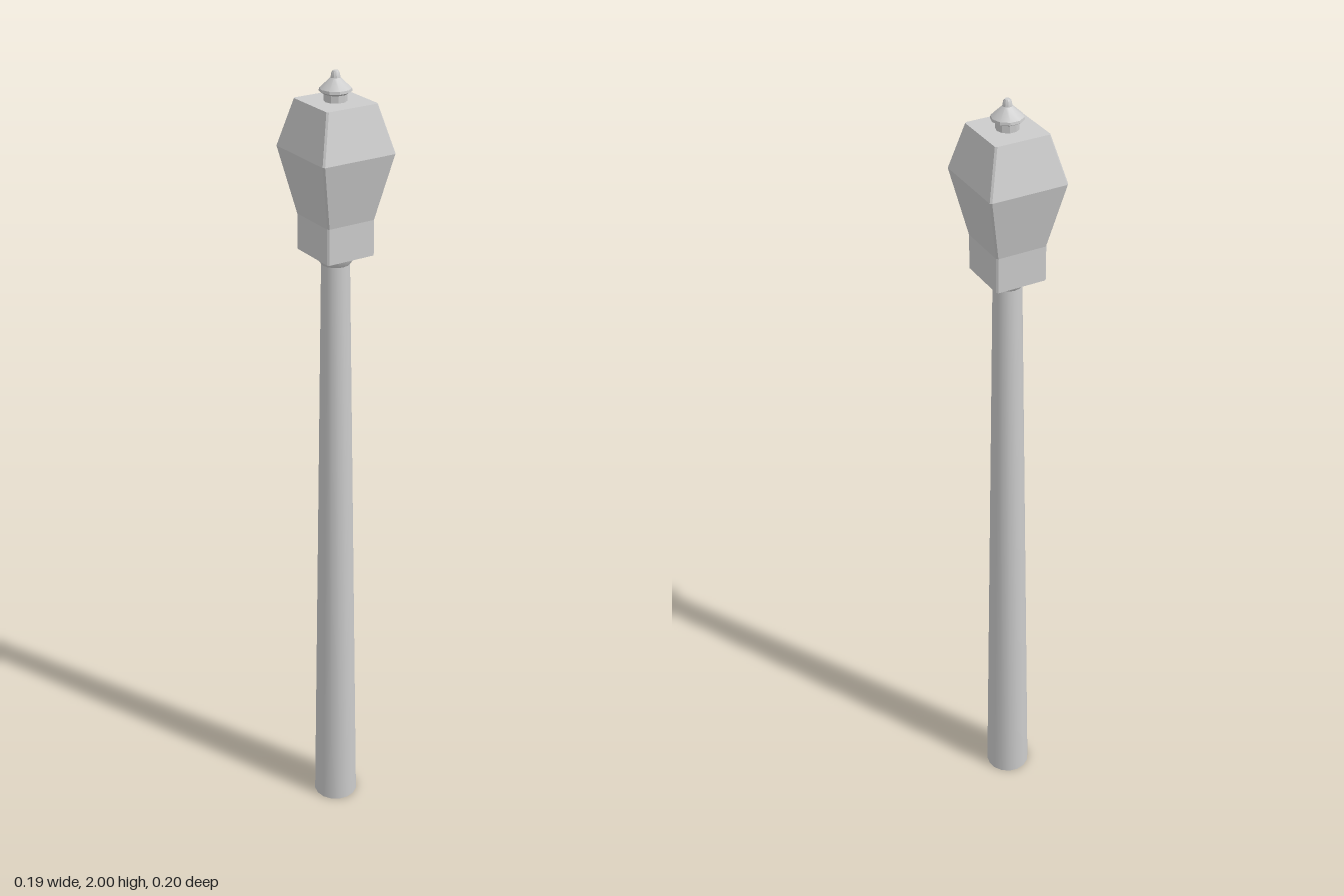
import * as THREE from 'three';
import { toCreasedNormals } from 'three/addons/utils/BufferGeometryUtils.js';

const material = new THREE.MeshStandardMaterial({ color: 0xcccccc });

function addPart(group, name, geometry, crease) {
  const mesh = new THREE.Mesh(toCreasedNormals(geometry, crease), material);
  mesh.name = name;
  group.add(mesh);
}

// Turned solid from [radius, y] pairs, first corner on +x
function turned(profile, sides) {
  const points = profile.map(([r, y]) => new THREE.Vector2(r, y));
  return new THREE.LatheGeometry(points, sides, Math.PI / 2);
}

// Rectangle with cut corners, counter-clockwise seen from above
function cutRectangle(hx, y, hz, c) {
  return [
    [hx, y, hz - c], [hx, y, -hz + c], [hx - c, y, -hz], [-hx + c, y, -hz],
    [-hx, y, -hz + c], [-hx, y, hz - c], [-hx + c, y, hz], [hx - c, y, hz],
  ];
}

// Closed skin over stacked rings
function loft(rings) {
  const n = rings[0].length;
  const last = (rings.length - 1) * n;
  const index = [];
  for (let r = 0; r < rings.length - 1; r++) {
    for (let i = 0; i < n; i++) {
      const a = r * n + i, b = r * n + (i + 1) % n;
      index.push(a, b, b + n, a, b + n, a + n);
    }
  }
  for (let i = 1; i < n - 1; i++) {
    index.push(0, i + 1, i);
    index.push(last, last + i, last + i + 1);
  }
  const geometry = new THREE.BufferGeometry();
  geometry.setAttribute('position', new THREE.Float32BufferAttribute(rings.flat(2), 3));
  geometry.setIndex(index);
  return geometry;
}

export function createModel() {
  const model = new THREE.Group();
  model.name = 'lampPost';

  // Tapered post with a flared collar under the lantern
  addPart(model, 'post', turned([[0, 0], [0.058, 0], [0.034, 1.56]], 16), 0.7);
  addPart(model, 'collar', turned([[0.034, 1.558], [0.049, 1.58], [0.049, 1.587], [0, 1.587]], 16), 0.6);

  // Four-sided lantern: straight foot, widening body, sloping roof
  const lantern = [
    [0.063, 1.585, 0.067],
    [0.063, 1.67, 0.067],
    [0.095, 1.825, 0.1],
    [0.066, 1.934, 0.07],
  ];
  addPart(model, 'lantern', loft(lantern.map(([hx, y, hz]) => cutRectangle(hx, y, hz, 0.004))), 0.1);

  // Finial on the roof
  addPart(model, 'finial', turned([
    [0.026, 1.93], [0.026, 1.95], [0.037, 1.956], [0.036, 1.962],
    [0.011, 1.985], [0.009, 1.996], [0.006, 2], [0, 2],
  ], 10), 0.5);

  return model;
}
